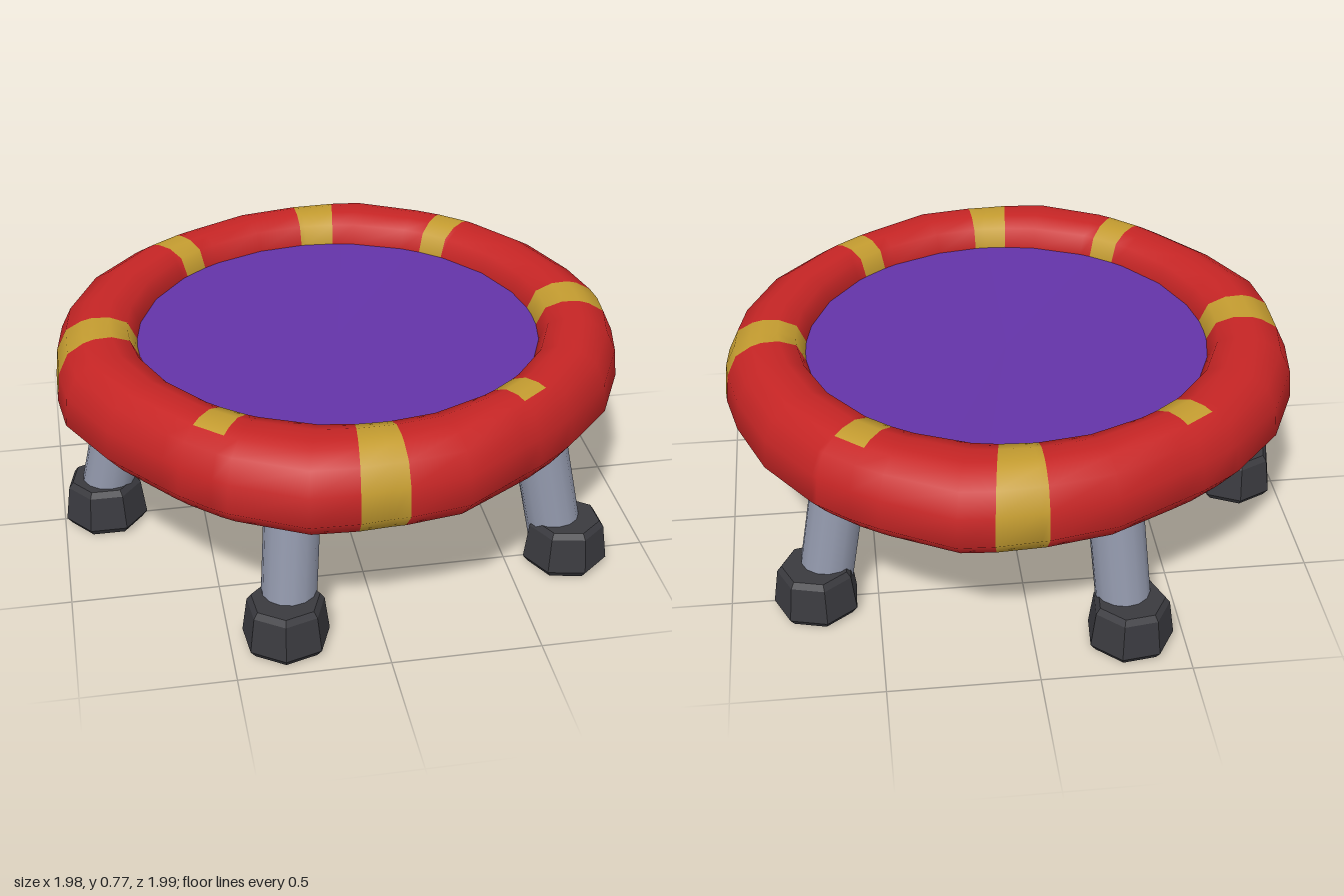
import * as THREE from 'three';

const mat = (name, color) => {
  const m = new THREE.MeshStandardMaterial({ color });
  m.name = name;
  return m;
};
const rad = THREE.MathUtils.degToRad;

// Faceted copy of a geometry
function faceted(geometry) {
  const g = geometry.toNonIndexed();
  g.computeVertexNormals();
  return g;
}

// Outer radius of the soft rim every 15 degrees, from +x towards +z
const OUTER = [0.985, 0.975, 0.96, 0.935, 0.935, 0.985, 0.985, 1.025, 1.0, 0.97, 0.975, 1.0,
  0.985, 0.995, 0.985, 0.965, 0.945, 0.97, 0.985, 1.025, 0.995, 0.99, 0.98, 0.974];

// Rim cross-section [radius, height], counterclockwise from the inner bottom
const SECTION = [[0.7, 0.51], [0.76, 0.482], [0.925, 0.48], [0.985, 0.55], [0.975, 0.65],
  [0.94, 0.725], [0.885, 0.758], [0.85, 0.768], [0.79, 0.768], [0.73, 0.745], [0.7, 0.68]];

// Bands [centre angle, half width, first and last section face]
const BANDS = [[0.9, 5.2, 0, 10], [91.3, 4.6, 0, 10], [180, 5.2, 0, 10], [273.4, 4.9, 0, 10],
  [52, 3.8, 6, 9], [127, 3.8, 6, 9], [231, 3.8, 6, 9], [310, 3.8, 6, 9]];

function outerRadius(deg) {
  const t = (((deg % 360) + 360) % 360) / 15;
  const i = Math.floor(t);
  return THREE.MathUtils.lerp(OUTER[i % 24], OUTER[(i + 1) % 24], t - i);
}

// Uneven padded ring; faces inside a band go to the second material
function rimGeometry() {
  const cuts = new Set();
  for (let i = 0; i < 24; i++) cuts.add(i * 15);
  for (const [c, w] of BANDS) {
    cuts.add((c - w + 360) % 360);
    cuts.add((c + w) % 360);
  }
  const angles = [...cuts].sort((a, b) => a - b);
  const n = angles.length, m = SECTION.length;
  const positions = [], plain = [], banded = [];
  for (const deg of angles) {
    const k = (outerRadius(deg) - 0.7) / 0.285, a = rad(deg);
    for (const [r, y] of SECTION) {
      const q = 0.7 + (r - 0.7) * k;
      positions.push(q * Math.cos(a), y, q * Math.sin(a));
    }
  }
  for (let i = 0; i < n; i++) {
    const next = (i + 1) % n;
    const mid = (angles[i] + (next ? angles[next] : angles[0] + 360)) / 2;
    for (let j = 0; j < m; j++) {
      const inBand = BANDS.some(([c, w, lo, hi]) =>
        Math.abs(((mid - c + 540) % 360) - 180) < w && j >= lo && j <= hi);
      const a = i * m + j, b = i * m + (j + 1) % m;
      const c = next * m + j, d = next * m + (j + 1) % m;
      (inBand ? banded : plain).push(a, b, c, b, d, c);
    }
  }
  const g = new THREE.BufferGeometry();
  g.setAttribute('position', new THREE.Float32BufferAttribute(positions, 3));
  g.setIndex([...plain, ...banded]);
  g.addGroup(0, plain.length, 0);
  g.addGroup(plain.length, banded.length, 1);
  g.computeVertexNormals();
  return g;
}

function lathe(points, sides) {
  return new THREE.LatheGeometry(points.map(([x, y]) => new THREE.Vector2(x, y)), sides);
}

export function createModel() {
  const model = new THREE.Group();
  model.name = 'trampoline';
  const red = mat('red padding', 0xc62525);
  const yellow = mat('yellow bands', 0xc49c30);
  const purple = mat('purple mat', 0x6434a8);
  const grey = mat('grey metal', 0x8f95a8);
  const dark = mat('dark rubber', 0x3a3a3f);

  const add = (name, geometry, material, parent = model) => {
    const mesh = new THREE.Mesh(geometry, material);
    mesh.name = name;
    parent.add(mesh);
    return mesh;
  };

  add('paddedRim', rimGeometry(), [red, yellow]);

  // Jumping surface, sagging very slightly to the middle
  add('jumpingMat', faceted(lathe([[0, 0.51], [0.71, 0.51], [0.71, 0.68], [0, 0.668]], 32)), purple);

  // Five splayed legs with seven-sided rubber feet
  const legGeometry = new THREE.CylinderGeometry(0.092, 0.092, 1, 14);
  const footGeometry = faceted(lathe([[0, 0], [0.128, 0], [0.147, 0.025],
    [0.13, 0.15], [0.115, 0.17], [0, 0.17]], 7));
  const up = new THREE.Vector3(0, 1, 0);
  [180, 111, 249, 37, 323].forEach((deg, i) => {
    const a = rad(deg);
    const at = (r, y) => new THREE.Vector3(r * Math.cos(a), y, r * Math.sin(a));
    const leg = new THREE.Group();
    leg.name = `leg${i + 1}`;
    model.add(leg);
    const low = at(0.85, 0.08), high = at(0.74, 0.58);
    const axis = high.clone().sub(low);
    const tube = add('legTube', legGeometry, grey, leg);
    tube.position.copy(low).add(high).multiplyScalar(0.5);
    tube.scale.y = axis.length();
    tube.quaternion.setFromUnitVectors(up, axis.normalize());
    const foot = add('foot', footGeometry, dark, leg);
    foot.position.copy(at(i === 0 ? 0.85 : 0.885, 0));
    foot.rotation.y = -a;
  });

  return model;
}
